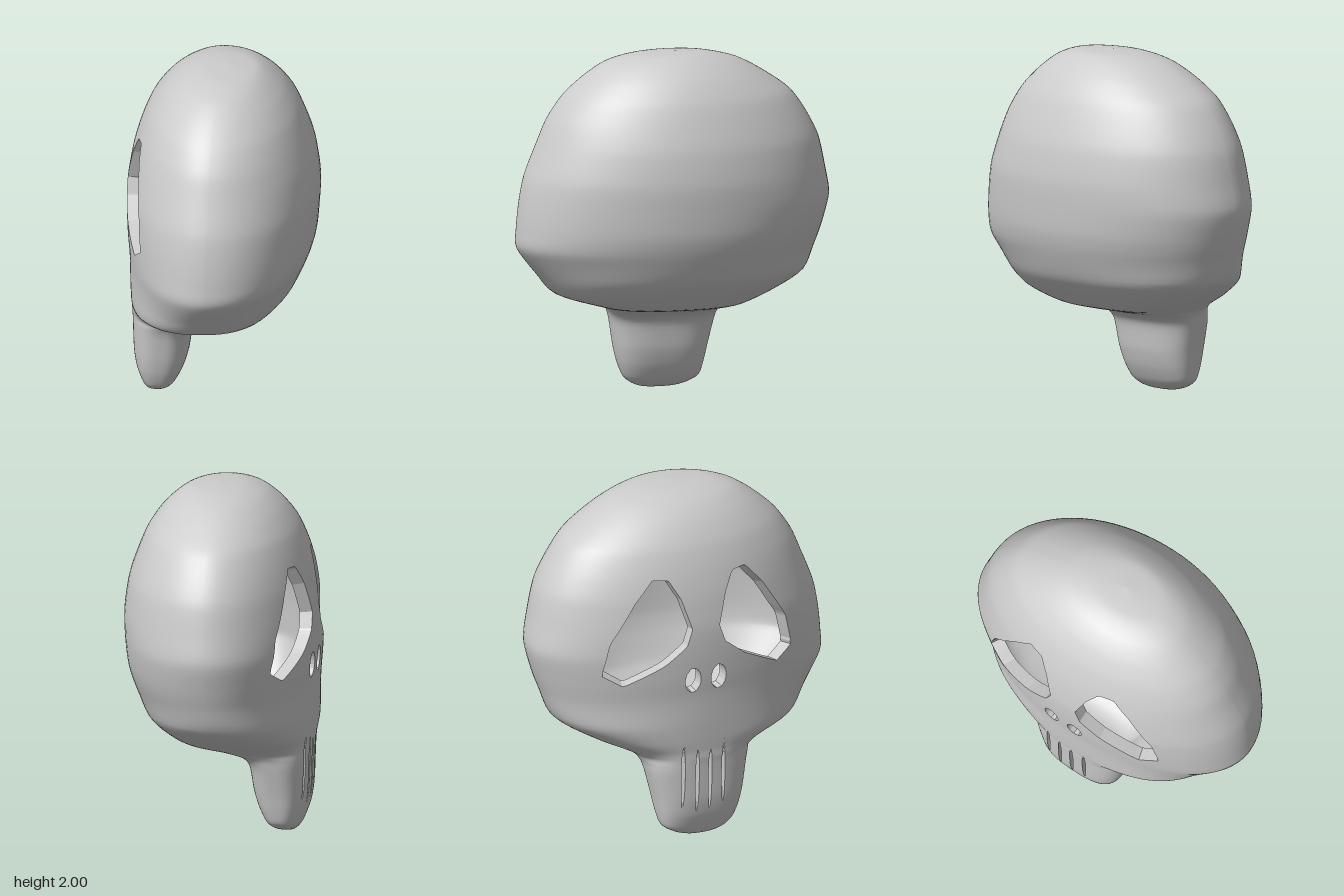
import * as THREE from 'three';

const MID = -0.045;      // symmetry plane (z) of the face, which looks towards -x
const WALL = 0.075;      // shell thickness

// Horizontal sections: y, face x, rear x, +z extent, -z extent
const sections = [
  [0, -0.4, -0.4, 0, 0],
  [0.01, -0.43, -0.34, 0.09, 0.1],
  [0.03, -0.45, -0.3, 0.15, 0.17],
  [0.07, -0.468, -0.265, 0.2, 0.235],
  [0.15, -0.495, -0.225, 0.235, 0.26],
  [0.25, -0.51, -0.195, 0.26, 0.28],
  [0.4, -0.515, -0.17, 0.285, 0.315],
  [0.46, -0.517, -0.11, 0.305, 0.33],
  [0.5, -0.52, 0.05, 0.34, 0.36],
  [0.54, -0.52, 0.22, 0.45, 0.44],
  [0.61, -0.525, 0.31, 0.67, 0.59],
  [0.72, -0.53, 0.415, 0.775, 0.765],
  [0.88, -0.535, 0.49, 0.9, 0.83],
  [1.0, -0.545, 0.525, 0.905, 0.87],
  [1.15, -0.55, 0.54, 0.89, 0.905],
  [1.3, -0.545, 0.545, 0.86, 0.88],
  [1.48, -0.515, 0.52, 0.79, 0.84],
  [1.62, -0.475, 0.475, 0.73, 0.77],
  [1.75, -0.42, 0.42, 0.64, 0.675],
  [1.86, -0.34, 0.345, 0.52, 0.52],
  [1.94, -0.245, 0.26, 0.4, 0.37],
  [1.985, -0.13, 0.18, 0.25, 0.2],
  [2, 0.03, 0.03, 0, 0],
];

// Eye outline as [distance from face centre, y]
const eye = [[0.2, 1.59], [0.29, 1.6], [0.4, 1.48], [0.55, 1.25], [0.595, 1.06],
  [0.48, 0.99], [0.25, 1.1], [0.12, 1.2], [0.085, 1.3], [0.14, 1.48]];

// Signed distance to a polygon, negative inside
function polygonDistance(px, py, points) {
  let d = Infinity, inside = false;
  points.forEach(([ax, ay], i) => {
    const [bx, by] = points[(i + 1) % points.length];
    const ex = bx - ax, ey = by - ay;
    const t = THREE.MathUtils.clamp(((px - ax) * ex + (py - ay) * ey) / (ex * ex + ey * ey), 0, 1);
    d = Math.min(d, Math.hypot(px - ax - ex * t, py - ay - ey * t));
    if ((ay > py) !== (by > py) && px < ax + (ex * (py - ay)) / ey) inside = !inside;
  });
  return inside ? -d : d;
}

const ovalDistance = (dz, dy, rz, ry) => (Math.hypot(dz / rz, dy / ry) - 1) * rz;

// Negative inside the eyes, nostrils and tooth slits
function openings(x, y, z) {
  if (x > -0.25) return 1;
  const side = Math.abs(z - MID);
  const slits = [-0.17, -0.085, -0.005, 0.08].map((s, i) =>
    ovalDistance(z - s, y - (i % 3 ? 0.37 : 0.4), 0.011, 0.2));
  return Math.min(
    polygonDistance(side, y, eye),
    ovalDistance(side - 0.08, y - 0.99, 0.048, 0.075),
    ...slits);
}

// Smooth skull surface as a closed stack of rounded loops
function skullGrid() {
  const curveX = new THREE.CatmullRomCurve3(
    sections.map(([y, f, b]) => new THREE.Vector3(f, y, b)), false, 'catmullrom', 0.4);
  const curveZ = new THREE.CatmullRomCurve3(
    sections.map(([y, , , p, n]) => new THREE.Vector3(p, y, n)), false, 'catmullrom', 0.4);
  const angles = [];
  for (let i = 0; i < 100; i++) angles.push((i / 100 - 0.5) * Math.PI);  // fine face half
  for (let i = 0; i < 40; i++) angles.push((i / 40 + 0.5) * Math.PI);    // rear half
  const rows = (sections.length - 1) * 5, cols = angles.length;
  const positions = [], index = [];
  for (let r = 0; r <= rows; r++) {
    const { x: front, y, z: rear } = curveX.getPoint(r / rows);
    const { x: zPlus, z: zMinus } = curveZ.getPoint(r / rows);
    const round = THREE.MathUtils.smoothstep(y, 0.42, 0.85);
    const cx = (front + rear) / 2 - 0.04 * round * (rear - front);
    const n = 2.7 - 0.7 * round;
    for (const a of angles) {
      const c = Math.cos(a), s = Math.sin(a);
      const k = (Math.abs(c) ** n + Math.abs(s) ** n) ** (-1 / n);
      positions.push(
        cx - c * k * (c > 0 ? cx - front : rear - cx),
        y,
        s * k * (s > 0 ? zPlus : zMinus));
    }
  }
  for (let r = 0; r < rows; r++) {
    for (let i = 0; i < cols; i++) {
      const j = (i + 1) % cols;
      const a = r * cols + i, b = r * cols + j, c = b + cols, d = a + cols;
      if (r > 0) index.push(a, b, c);
      else index.push(a, c, d);
      if (r > 0 && r < rows - 1) index.push(a, c, d);
    }
  }
  const geometry = new THREE.BufferGeometry();
  geometry.setAttribute('position', new THREE.Float32BufferAttribute(positions, 3));
  geometry.setIndex(index);
  geometry.computeVertexNormals();
  return geometry;
}

export function createModel() {
  const grid = skullGrid();
  const points = [];
  for (let i = 0; i < grid.attributes.position.count; i++) {
    const outer = new THREE.Vector3().fromBufferAttribute(grid.attributes.position, i);
    const normal = new THREE.Vector3().fromBufferAttribute(grid.attributes.normal, i);
    const inner = outer.clone().addScaledVector(normal, -WALL);
    points.push({ outer, inner, normal, g: openings(outer.x, outer.y, outer.z) });
  }

  // Trim every triangle along the rims of the openings
  const cuts = new Map(), faces = [], wall = [];
  const cut = (i, j) => {
    const key = i < j ? `${i},${j}` : `${j},${i}`;
    if (!cuts.has(key)) {
      const a = points[i], b = points[j], t = a.g / (a.g - b.g);
      cuts.set(key, points.length);
      points.push({
        outer: a.outer.clone().lerp(b.outer, t),
        inner: a.inner.clone().lerp(b.inner, t),
        normal: a.normal.clone().lerp(b.normal, t).normalize(),
      });
    }
    return cuts.get(key);
  };
  const index = grid.index.array;
  for (let f = 0; f < index.length; f += 3) {
    const kept = [];
    let leave = -1, enter = -1;
    for (let k = 0; k < 3; k++) {
      const i = index[f + k], j = index[f + (k + 1) % 3];
      const inI = points[i].g > 0, inJ = points[j].g > 0;
      if (inI) kept.push(i);
      if (inI !== inJ) {
        const c = cut(i, j);
        kept.push(c);
        if (inI) leave = c;
        else enter = c;
      }
    }
    for (let k = 1; k + 1 < kept.length; k++) faces.push(kept[0], kept[k], kept[k + 1]);
    if (leave >= 0) {
      const p = points[leave], q = points[enter];
      for (const v of [q.outer, p.outer, p.inner, q.outer, p.inner, q.inner]) wall.push(v.x, v.y, v.z);
    }
  }

  const group = new THREE.Group();
  const material = new THREE.MeshStandardMaterial({ color: 0xcccccc });
  const add = (name, geometry) => {
    const mesh = new THREE.Mesh(geometry, material);
    mesh.name = name;
    group.add(mesh);
  };
  const shell = (key, sign) => {
    const geometry = new THREE.BufferGeometry().setFromPoints(points.map((p) => p[key]));
    geometry.setAttribute('normal', new THREE.Float32BufferAttribute(
      points.flatMap(({ normal: n }) => [n.x * sign, n.y * sign, n.z * sign]), 3));
    geometry.setIndex(sign > 0 ? faces : faces.slice().reverse());
    return geometry;
  };
  add('skullOuterShell', shell('outer', 1));
  add('skullInnerShell', shell('inner', -1));

  // Thickness of the shell around eyes, nostrils and tooth slits
  const rims = new THREE.BufferGeometry();
  rims.setAttribute('position', new THREE.Float32BufferAttribute(wall, 3));
  rims.computeVertexNormals();
  add('openingRims', rims);
  return group;
}
